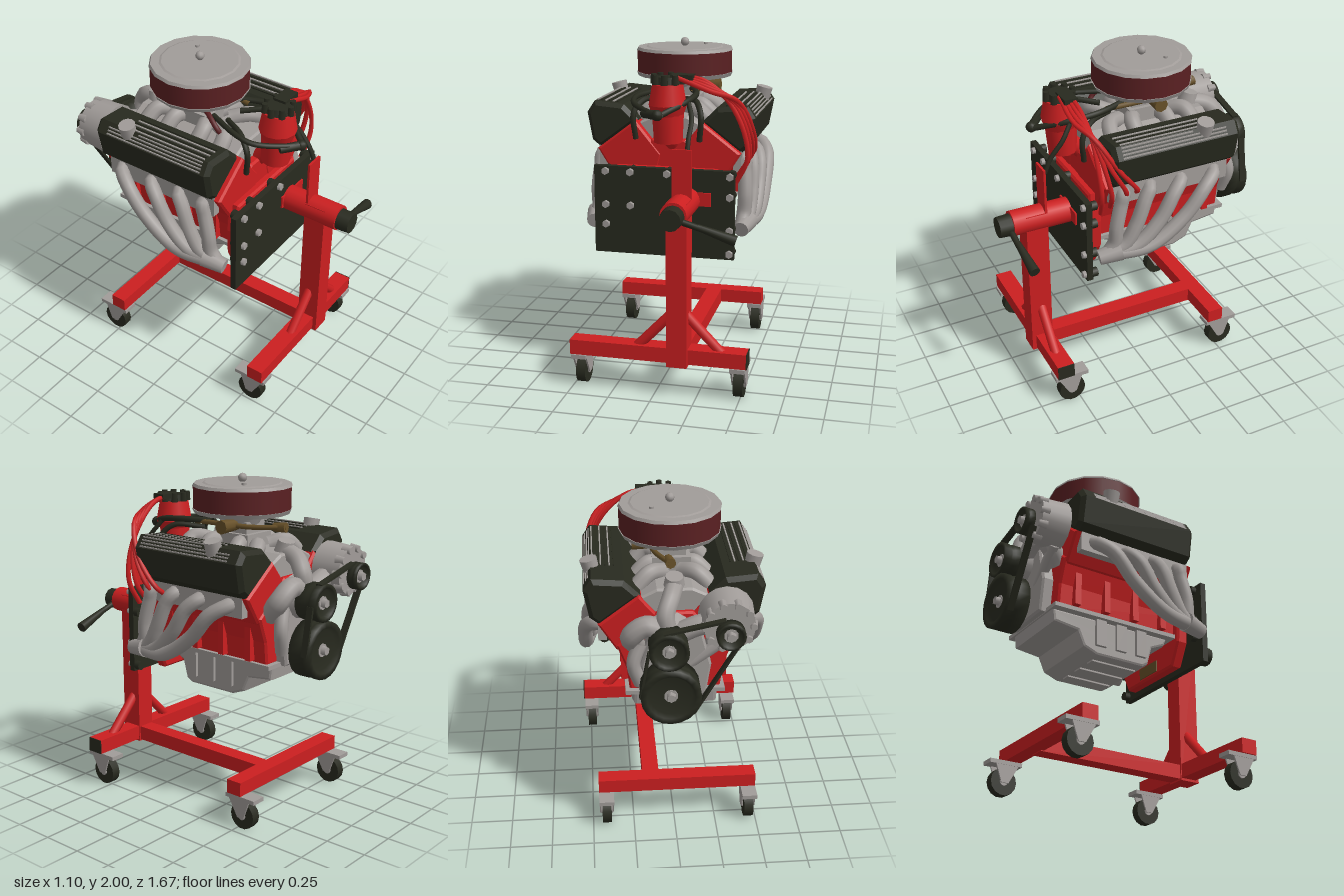
import * as THREE from 'three';

const mat = (name, color, opt = {}) => Object.assign(new THREE.MeshStandardMaterial({ color, ...opt }), { name });

export function createModel() {
  const model = new THREE.Group();
  const red = mat('red paint', 0xcc1f20), grey = mat('cast grey', 0xa19c99), dark = mat('black paint', 0x282a1f, { side: THREE.DoubleSide });
  const maroon = mat('filter maroon', 0x5a2022), brass = mat('brass', 0x675028);

  const add = (name, geo, m, x = 0, y = 0, z = 0) => {
    const mesh = new THREE.Mesh(geo, m);
    mesh.name = name;
    mesh.position.set(x, y, z);
    model.add(mesh);
    return mesh;
  };
  // box given by its min and max on each axis
  const box = (name, m, x0, x1, y0, y1, z0, z1) =>
    add(name, new THREE.BoxGeometry(x1 - x0, y1 - y0, z1 - z0), m, (x0 + x1) / 2, (y0 + y1) / 2, (z0 + z1) / 2);
  // straight cylinder between two points
  const rod = (name, m, a, b, r0, r1 = r0, sides = 16) => {
    const A = new THREE.Vector3(...a), B = new THREE.Vector3(...b);
    const mesh = add(name, new THREE.CylinderGeometry(r1, r0, A.distanceTo(B), sides), m, ...A.clone().add(B).multiplyScalar(0.5));
    mesh.quaternion.setFromUnitVectors(new THREE.Vector3(0, 1, 0), B.sub(A).normalize());
    return mesh;
  };
  const tube = (name, m, pts, r, sides = 10) =>
    add(name, new THREE.TubeGeometry(new THREE.CatmullRomCurve3(pts.map(p => new THREE.Vector3(...p))), 24, r, sides), m);
  // cross-section in x,y pulled from z0 to z1 (s mirrors x)
  const section = (name, m, pts, z0, z1, s = 1, bevel = 0.012) =>
    add(name, new THREE.ExtrudeGeometry(new THREE.Shape(pts.map(([x, y]) => new THREE.Vector2(s * x, y))), {
      depth: z1 - z0 - 2 * bevel, bevelEnabled: true, bevelSize: bevel, bevelOffset: -bevel, bevelThickness: bevel, bevelSegments: 1,
    }), m, 0, 0, z0 + bevel);

  // ---- stand ----
  box('frontCrossbar', red, -0.51, 0.54, 0.21, 0.3, 0.545, 0.65);
  box('crossbarEndCap', dark, 0.54, 0.545, 0.21, 0.3, 0.545, 0.65);
  box('rearCrossbar', red, -0.5, 0.46, 0.21, 0.295, -0.53, -0.43);
  box('centreBeam', red, 0.09, 0.19, 0.205, 0.295, -0.45, 0.56);
  box('post', red, 0.08, 0.2, 0.195, 1.17, 0.54, 0.675);
  for (const s of [-1, 1]) rod('postBrace', red, [0.14 + s * 0.26, 0.27, 0.6], [0.14 + s * 0.04, 0.5, 0.6], 0.03, 0.03, 8);
  box('postPlate', red, 0.085, 0.2, 1.14, 1.45, 0.542, 0.556);
  rod('pivotTube', red, [0.14, 1.12, 0.39], [0.14, 1.12, 0.75], 0.077, 0.077, 16);
  box('pivotFlange', red, 0.05, 0.28, 1.09, 1.17, 0.39, 0.402);
  rod('pivotCap', dark, [0.14, 1.115, 0.745], [0.14, 1.115, 0.83], 0.067, 0.062, 12);
  rod('crankHandle', dark, [0.14, 1.11, 0.765], [0.34, 1.05, 0.76], 0.018);
  rod('crankGrip', dark, [0.28, 1.07, 0.76], [0.49, 1.0, 0.745], 0.018, 0.032);

  // ---- casters ----
  for (const [x, z] of [[-0.455, 0.55], [0.49, 0.55], [-0.455, -0.53], [0.415, -0.53]]) {
    rod('casterWheel', dark, [x - 0.028, 0.085, z], [x + 0.028, 0.085, z], 0.083, 0.083, 14);
    rod('casterHub', grey, [x - 0.035, 0.085, z], [x + 0.035, 0.085, z], 0.026, 0.026, 10);
    box('casterPlate', grey, x - 0.045, x + 0.045, 0.185, 0.21, z - 0.1, z + 0.11);
    for (const s of [-1, 1]) {
      const fork = new THREE.Shape([[-0.02, 0.075], [0.025, 0.075], [0.09, 0.19], [-0.06, 0.19]].map(p => new THREE.Vector2(...p)));
      add('casterFork', new THREE.ExtrudeGeometry(fork, { depth: 0.01, bevelEnabled: false }), grey, x + s * 0.038 + 0.005, 0, z).rotation.y = -Math.PI / 2;
    }
  }

  // ---- mounting plate and bolts ----
  box('mountingPlate', dark, -0.42, 0.415, 0.775, 1.3, 0.355, 0.392);
  const bolts = [[-0.35, 1.27], [-0.2, 1.27], [0.02, 1.27], [0.39, 1.27], [-0.35, 1.07], [-0.2, 1.07], [0.39, 1.15],
    [-0.35, 0.95], [0.39, 0.95], [0.39, 0.81]];
  for (const [x, y] of bolts) {
    rod('plateBolt', grey, [x, y, 0.36], [x, y, 0.412], 0.026, 0.022, 6);
    rod('plateSpacer', dark, [x, y, 0.32], [x, y, 0.36], 0.028, 0.028, 8);
  }
  section('bellhousingFlange', red, [[-0.24, 0.78], [0.24, 0.78], [0.31, 0.92], [0.32, 1.1], [0.3, 1.29], [-0.3, 1.29], [-0.32, 1.1], [-0.31, 0.92]], 0.25, 0.325);
  box('inspectionCover', brass, -0.09, 0.09, 0.8, 0.87, 0.243, 0.252);

  // ---- block and oil pan ----
  section('engineBlock', red, [[-0.26, 0.96], [0.26, 0.96], [0.275, 1.1], [0.33, 1.25], [0.1, 1.45], [-0.1, 1.45], [-0.33, 1.25], [-0.275, 1.1]], -0.56, 0.28);
  for (const s of [-1, 1]) for (const z of [-0.45, -0.25, -0.05, 0.15])
    box('blockRib', red, s * 0.28 - 0.025, s * 0.28 + 0.025, 0.98, 1.2, z - 0.02, z + 0.02);
  box('oilPanRim', grey, -0.285, 0.285, 0.945, 0.97, -0.59, 0.25);
  const pan = new THREE.Shape([[0.22, 0.95], [0.2, 0.9], [0.11, 0.86], [0.08, 0.75], [0.04, 0.725], [-0.28, 0.725], [-0.37, 0.76], [-0.41, 0.85], [-0.57, 0.87], [-0.58, 0.95]]
    .map(p => new THREE.Vector2(...p)));
  add('oilPan', new THREE.ExtrudeGeometry(pan, { depth: 0.44, bevelThickness: 0.02, bevelSize: 0.015, bevelOffset: -0.015, bevelSegments: 2 }), grey, 0.22).rotation.y = -Math.PI / 2;
  for (const x of [-0.14, 0, 0.14]) box('oilPanRib', grey, x - 0.03, x + 0.03, 0.715, 0.74, -0.27, 0.03);
  for (const s of [-1, 1]) for (const z of [-0.26, -0.12, 0.02])
    box('oilPanSideRib', grey, s * 0.24 - 0.02, s * 0.24 + 0.02, 0.78, 0.95, z - 0.035, z + 0.035);

  // ---- both cylinder banks ----
  for (const s of [-1, 1]) {
    section('cylinderHead', red, [[0.43, 1.38], [0.2, 1.555], [0.04, 1.36], [0.1, 1.12], [0.33, 1.22]], -0.55, 0.285, s);
    section('valveCover', dark, [[0.42, 1.375], [0.475, 1.42], [0.506, 1.585], [0.46, 1.655], [0.28, 1.64], [0.19, 1.55]], -0.55, 0.255, s, 0.025);
    // cooling fins on the top and on the outer slope of the cover
    for (let i = 0; i < 6; i++) {
      const x = 0.33 + i * 0.024, y = 1.64 + (x - 0.28) * 0.083;
      box('coverFin', i % 2 ? grey : dark, s * x - 0.004, s * x + 0.004, y - 0.01, y + 0.007, -0.34, 0.2);
    }
    for (let i = 0; i < 4; i++) {
      const x = 0.466 + i * 0.011, y = 1.645 - i * 0.0165;
      box('coverSideFin', grey, s * x - 0.004, s * x + 0.004, y - 0.004, y + 0.004, i ? -0.46 : -0.25, 0.2);
    }
    rod('breatherCap', grey, [s * 0.45, 1.6, -0.33], [s * 0.472, 1.69, -0.33], 0.045, 0.05, 12);
    box('headFlange', grey, s * 0.405 - 0.025, s * 0.405 + 0.025, 1.265, 1.39, -0.51, 0.245);
    // exhaust headers sweep back into one collector, the far ones running outermost
    [0.17, 0.0, -0.2, -0.42].forEach((z, i) => {
      const k = i * 0.025, out = 0.45 + i * 0.018;
      tube('exhaustHeader', grey, [[s * 0.38, 1.335, z], [s * 0.435, 1.33, z], [s * (out - 0.01), 1.27, z + 0.015 + k],
        [s * out, 1.13 - k * 0.2, z * 0.7 + 0.1], [s * (out - 0.005), 1.02 - k * 0.6, z * 0.35 + 0.17], [s * (0.44 + k * 0.2), 0.955, 0.27]], 0.043);
    });
    rod('exhaustCollector', grey, [s * 0.465, 0.97, 0.2], [s * 0.445, 0.945, 0.33], 0.06, 0.045, 12);
    // intake runners
    for (const z of [-0.42, -0.27, -0.04, 0.12])
      tube('intakeRunner', grey, [[s * 0.05, 1.59, z * 0.6 - 0.06], [s * 0.13, 1.61, z * 0.9], [s * 0.23, 1.52, z]], 0.048);
  }

  // ---- intake, carburettor and air cleaner ----
  section('intakeManifold', grey, [[-0.2, 1.53], [-0.1, 1.58], [0.1, 1.58], [0.2, 1.53], [0.08, 1.38], [-0.08, 1.38]], -0.53, 0.23);
  rod('thermostatHousing', grey, [0, 1.55, -0.47], [0, 1.64, -0.49], 0.065, 0.05, 12);
  box('carburettorBase', grey, -0.11, 0.11, 1.57, 1.66, -0.29, -0.03);
  box('carburettorBody', grey, -0.085, 0.085, 1.65, 1.73, -0.26, -0.06);
  rod('carburettorNeck', grey, [0, 1.7, -0.16], [0, 1.78, -0.16], 0.1, 0.14, 16);
  rod('carburettorFitting', brass, [0.08, 1.71, -0.18], [0.22, 1.71, -0.18], 0.035, 0.042, 8);
  tube('vacuumLine', maroon, [[-0.06, 1.69, -0.1], [-0.14, 1.71, 0.0], [-0.17, 1.66, 0.08], [-0.13, 1.57, 0.12]], 0.016, 8);
  tube('fuelLine', brass, [[0.1, 1.7, 0.12], [0.12, 1.71, -0.1], [0.1, 1.71, -0.3], [0.02, 1.72, -0.5]], 0.015);
  rod('fuelFilter', brass, [0.03, 1.715, -0.42], [0.02, 1.72, -0.5], 0.026, 0.03, 8);
  const ring = (name, m, r0, r1, y0, y1) => rod(name, m, [0, y0, -0.16], [0, y1, -0.16], r0, r1, 16);
  ring('airCleanerBase', grey, 0.285, 0.297, 1.772, 1.797);
  ring('airFilter', maroon, 0.292, 0.292, 1.795, 1.93);
  ring('airCleanerLid', grey, 0.297, 0.288, 1.928, 1.945);
  ring('airCleanerLidStep', grey, 0.24, 0.225, 1.944, 1.95);
  ring('wingNutStud', grey, 0.013, 0.013, 1.94, 1.975);
  add('wingNut', new THREE.SphereGeometry(0.027, 8, 6), grey, 0, 1.974, -0.16);
  rod('lidStud', grey, [0.11, 1.945, -0.26], [0.11, 1.962, -0.26], 0.014, 0.014, 8);

  // ---- distributor and leads ----
  rod('distributorShaft', red, [0.02, 1.4, 0.22], [0.02, 1.52, 0.33], 0.05);
  rod('distributorBody', red, [0.02, 1.455, 0.36], [0.02, 1.64, 0.368], 0.085, 0.095, 12);
  rod('distributorCap', red, [0.02, 1.61, 0.37], [0.02, 1.67, 0.37], 0.09, 0.112, 12);
  rod('distributorCapTop', red, [0.02, 1.67, 0.37], [0.02, 1.79, 0.37], 0.112, 0.09, 12);
  rod('distributorTop', dark, [0.02, 1.78, 0.37], [0.02, 1.83, 0.37], 0.085, 0.07, 8);
  for (let i = 0; i < 8; i++) {
    const a = i * Math.PI / 4, x = 0.02 + Math.cos(a) * 0.08, z = 0.37 + Math.sin(a) * 0.08;
    rod('leadTower', dark, [x, 1.79, z], [x, 1.845, z], 0.022, 0.018, 6);
  }
  box('leadClip', dark, 0.04, 0.17, 1.815, 1.845, 0.32, 0.4);
  // two leads drop close to the plate, two fan out along the bank
  [0.31, 0.25, 0.16, 0.09].forEach((z, i) => {
    const d = i * 0.018;
    tube('sparkLead', red, [[0.08, 1.83, 0.34 + d], [0.22 + d, 1.81 - d, 0.34 + d], [0.36 + d, 1.7, 0.33], [0.455 + d * 0.6, 1.52, 0.33 - d * 2],
      [0.475, 1.36, z + 0.01], [0.41, 1.22 + d * 1.6, z - 0.01]], 0.015, 6);
  });

  // ---- hoses at the plate end ----
  add('vacuumCan', new THREE.SphereGeometry(0.032, 10, 8), dark, 0, 1.635, 0.54);
  rod('vacuumCanister', dark, [-0.1, 1.63, 0.46], [0, 1.635, 0.54], 0.025, 0.028, 8);
  tube('vacuumHose', dark, [[0, 1.64, 0.54], [-0.09, 1.65, 0.47], [-0.19, 1.67, 0.34], [-0.2, 1.69, 0.24], [-0.12, 1.7, 0.02]], 0.016, 8);
  tube('throttleHose', dark, [[0.02, 1.635, 0.53], [0.13, 1.69, 0.36], [0.15, 1.71, 0.2], [0.08, 1.71, 0]], 0.018, 8);
  tube('plateHose', dark, [[0.17, 1.42, 0.535], [0.17, 1.5, 0.5], [0.17, 1.6, 0.42], [0.14, 1.68, 0.36]], 0.014, 8);
  for (const s of [-1, 1]) tube('manifoldHose', dark, [[s * 0.19, 1.45, 0.3], [s * 0.2, 1.6, 0.31], [s * 0.16, 1.67, 0.24], [s * 0.06, 1.66, 0.08]], 0.017, 8);

  // ---- pump, alternator, pulleys and belt ----
  section('timingCover', grey, [[-0.17, 0.95], [0.17, 0.95], [0.2, 1.15], [0.14, 1.38], [-0.14, 1.38], [-0.2, 1.15]], -0.63, -0.55);
  rod('waterPump', grey, [0.04, 1.33, -0.58], [0.04, 1.33, -0.71], 0.14, 0.08);
  for (const s of [-1, 1]) tube('pumpOutlet', grey, [[0.04, 1.34, -0.64], [s * 0.16, 1.42, -0.65], [s * 0.25, 1.35, -0.63], [s * 0.22, 1.25, -0.54]], 0.06);
  tube('coolantNeck', grey, [[0.04, 1.36, -0.66], [0.06, 1.48, -0.65], [0.03, 1.55, -0.59], [0, 1.58, -0.49]], 0.052);
  tube('lowerHousing', grey, [[0.2, 1.3, -0.62], [0.24, 1.18, -0.64], [0.2, 1.04, -0.62]], 0.04);
  rod('alternator', grey, [-0.28, 1.455, -0.58], [-0.28, 1.455, -0.76], 0.157, 0.142, 16);
  rod('alternatorBack', dark, [-0.28, 1.455, -0.56], [-0.28, 1.455, -0.585], 0.11);
  for (let i = 0; i < 10; i++) {
    const a = i * Math.PI / 5, x = -0.28 + Math.cos(a) * 0.13, y = 1.455 + Math.sin(a) * 0.13;
    rod('alternatorVent', grey, [x, y, -0.72], [x, y, -0.775], 0.028, 0.021, 6);
  }
  rod('alternatorBracket', grey, [-0.3, 1.32, -0.62], [-0.08, 1.15, -0.6], 0.035, 0.035, 8);

  const pulleys = [[0.04, 1.05, 0.17], [0.05, 1.33, 0.11], [-0.28, 1.43, 0.08]];
  pulleys.forEach(([x, y, r], i) => {
    const z = i === 2 ? -0.835 : -0.81, d = i === 2 ? 0.06 : 0.14;
    rod('pulleyShaft', grey, [x, y, -0.6], [x, y, z + 0.02], 0.04, 0.04, 10);
    // dished face and a shallow belt groove
    const profile = [[0.02, 0.025], [r * 0.7, 0.025], [r * 0.8, 0], [r, 0], [r, d * 0.3], [r - 0.008, d * 0.4], [r, d * 0.5], [r, d], [0.02, d]];
    add('pulley', new THREE.LatheGeometry(profile.map(p => new THREE.Vector2(...p)), 20), dark, x, y, z).rotation.x = Math.PI / 2;
    rod('pulleyNut', grey, [x, y, z + 0.03], [x, y, z - 0.008], 0.03, 0.025, 6);
    // belt run on the outer tangent to the next pulley
    const [bx, by, br] = pulleys[(i + 1) % 3], len = Math.hypot(bx - x, by - y), dx = (bx - x) / len, dy = (by - y) / len;
    const p = [x + dy * r, y - dx * r], q = [bx + dy * br, by - dx * br];
    const run = add('belt', new THREE.BoxGeometry(Math.hypot(q[0] - p[0], q[1] - p[1]), 0.014, 0.04), dark, (p[0] + q[0]) / 2, (p[1] + q[1]) / 2, -0.78);
    run.rotation.z = Math.atan2(q[1] - p[1], q[0] - p[0]);
  });
  return model;
}
